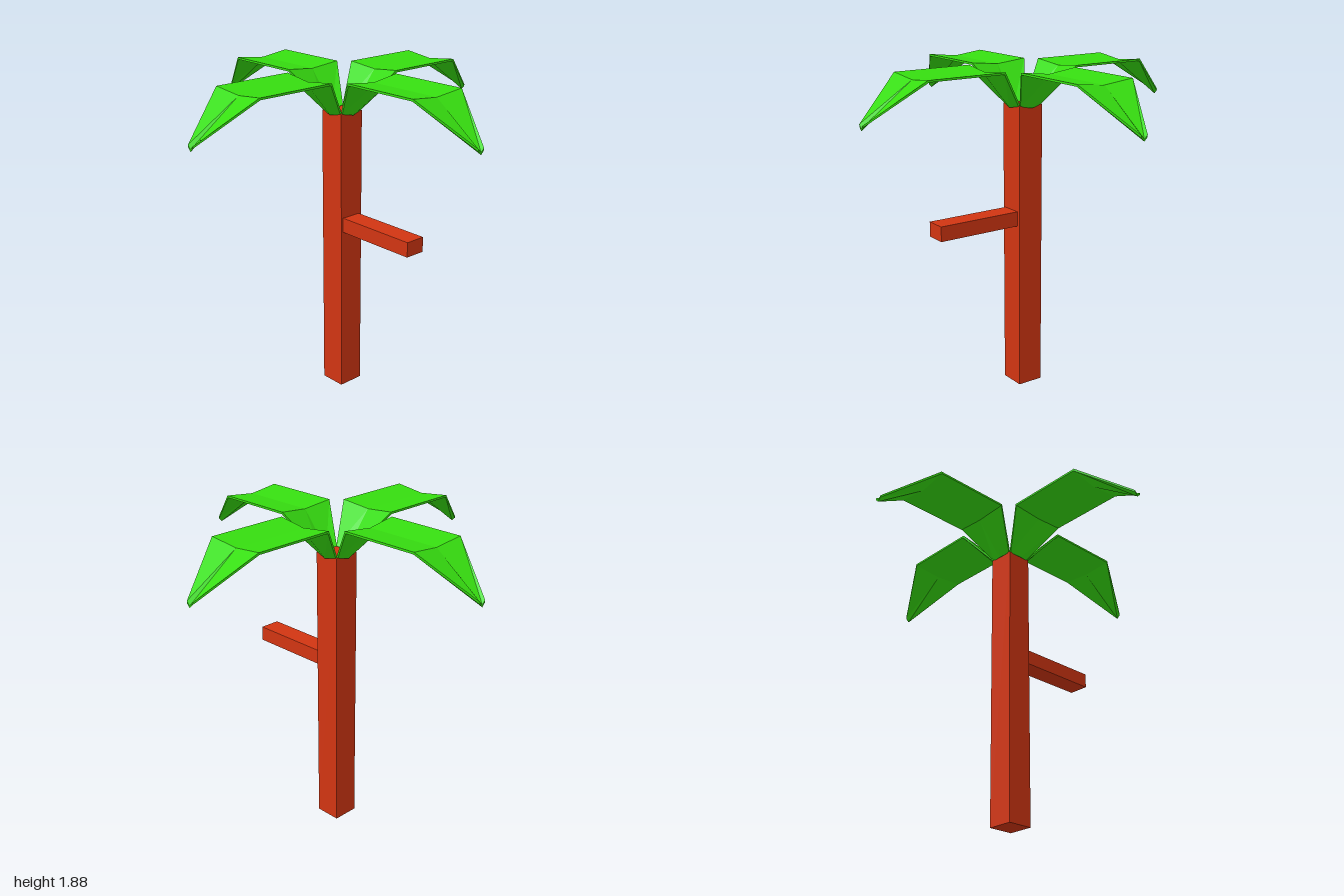
import * as THREE from 'three';

const bark = new THREE.MeshStandardMaterial({ color: 0xd13512, flatShading: true });
const green = new THREE.MeshStandardMaterial({ color: 0x36dd10, flatShading: true });

// Stations along a frond: distance out, height, half width, and the direction of its underside
const stations = [
  { r: 0.064, y: 1.67, w: 0.066, n: [0.8, -0.6] },
  { r: 0.235, y: 1.877, w: 0.178, n: [0.5, -1] },
  { r: 0.705, y: 1.877, w: 0.178, n: [-0.33, -1] },
  { r: 1.0, y: 1.658, w: 0.02, n: [0, -1] },
];

// Shallow V cross-section: [side, depth along the underside direction]
const section = [[-1, 0], [0, 0.02], [1, 0], [1, 0.012], [0, 0.032], [-1, 0.012]];

function frondGeometry(length) {
  const position = [];
  const index = [];
  const quad = (a, b, c, d) => index.push(a, b, c, a, c, d);
  const count = section.length;

  for (const { r, y, w, n } of stations) {
    const reach = r > 0.5 ? r - (1 - length) * (r - 0.235) / 0.765 : r;
    for (const [side, depth] of section) {
      position.push(reach + n[0] * depth, y + n[1] * depth, side * w);
    }
  }
  for (let s = 0; s < stations.length - 1; s++) {
    for (let i = 0; i < count; i++) {
      const a = s * count + i;
      const b = s * count + (i + 1) % count;
      quad(a, b, b + count, a + count);
    }
  }
  // End caps
  const e = (stations.length - 1) * count;
  quad(5, 4, 1, 0);
  quad(4, 3, 2, 1);
  quad(e, e + 1, e + 4, e + 5);
  quad(e + 1, e + 2, e + 3, e + 4);

  const geometry = new THREE.BufferGeometry();
  geometry.setAttribute('position', new THREE.Float32BufferAttribute(position, 3));
  geometry.setIndex(index);
  const flat = geometry.toNonIndexed();
  flat.computeVertexNormals();
  return flat;
}

function addBox(group, name, size, centre) {
  const mesh = new THREE.Mesh(new THREE.BoxGeometry(...size), bark);
  mesh.name = name;
  mesh.position.set(...centre);
  group.add(mesh);
}

export function createModel() {
  const model = new THREE.Group();
  model.name = 'palmTree';

  addBox(model, 'trunk', [0.154, 1.665, 0.154], [0, 0.8325, 0]);
  // Stub branch on the front of the trunk
  addBox(model, 'branch', [0.12, 0.085, 0.51], [-0.002, 1.023, 0.322]);

  // Four fronds, a quarter turn apart
  const fronds = ['leftFrond', 'backFrond', 'rightFrond', 'frontFrond'];
  fronds.forEach((name, i) => {
    const frond = new THREE.Mesh(frondGeometry(i % 2 ? 0.988 : 1), green);
    frond.name = name;
    frond.rotation.y = i * Math.PI / 2;
    model.add(frond);
  });
  return model;
}
